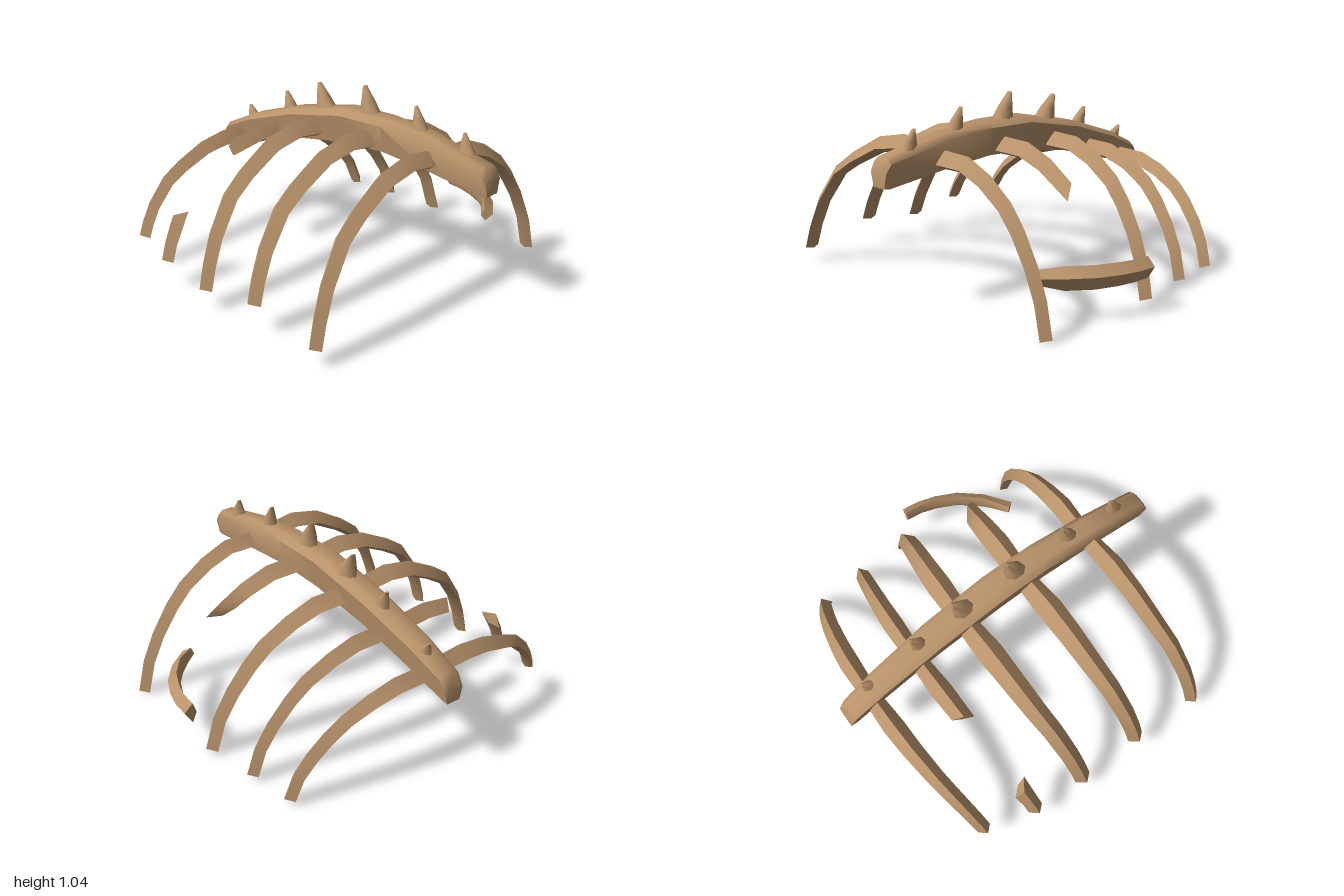
import * as THREE from 'three';
import { toCreasedNormals } from 'three/addons/utils/BufferGeometryUtils.js';

const bone = new THREE.MeshStandardMaterial({ color: 0xb8926a });
bone.name = 'bone';

// Skin closed rings of points into a capped solid, soft except at strong creases.
function loft(name, rings) {
  const pos = [], n = rings[0].length;
  const tri = (a, b, c) => pos.push(...a, ...b, ...c);
  for (let i = 0; i < rings.length - 1; i++) {
    for (let j = 0; j < n; j++) {
      const k = (j + 1) % n, A = rings[i], B = rings[i + 1];
      tri(A[j], A[k], B[k]);
      tri(A[j], B[k], B[j]);
    }
  }
  const first = rings[0], last = rings[rings.length - 1];
  for (let j = 1; j < n - 1; j++) {
    tri(first[0], first[j + 1], first[j]);
    tri(last[0], last[j], last[j + 1]);
  }
  // Turn the solid right side out if its signed volume is negative.
  const v = i => new THREE.Vector3().fromArray(pos, i);
  let volume = 0;
  for (let i = 0; i < pos.length; i += 9) volume += v(i).dot(v(i + 3).cross(v(i + 6)));
  if (volume < 0) {
    for (let i = 0; i < pos.length; i += 9) {
      for (let c = 0; c < 3; c++) [pos[i + c], pos[i + 3 + c]] = [pos[i + 3 + c], pos[i + c]];
    }
  }
  const geometry = new THREE.BufferGeometry();
  geometry.setAttribute('position', new THREE.Float32BufferAttribute(pos, 3));
  const mesh = new THREE.Mesh(toCreasedNormals(geometry, 1.05), bone);
  mesh.name = name;
  return mesh;
}

// Rib arcs: [outward fraction, drop fraction].
const leftArc = [[0.03, 0], [0.32, 0], [0.49, 0.08], [0.655, 0.21], [0.76, 0.35], [0.87, 0.55], [0.95, 0.755], [1, 1]];
const rightArc = [[-0.03, 0.05], [0.21, 0], [0.4, 0.05], [0.61, 0.2], [0.75, 0.33], [0.89, 0.6], [0.96, 0.82], [1, 1]];

// Keep the part of an arc between two outward fractions.
function slice(arc, from, to) {
  const at = u => {
    const i = Math.max(1, arc.findIndex(p => p[0] >= u));
    const [a, b] = [arc[i - 1], arc[i]];
    return [u, a[1] + (b[1] - a[1]) * (u - a[0]) / (b[0] - a[0])];
  };
  return [at(from), ...arc.filter(p => p[0] > from + 0.01 && p[0] < to - 0.01), at(to)];
}

// A ridged rib; skews slant the broken ends.
function rib(name, side, z0, width, { x, top, end, dz, from, to = 1, skewStart = 0, skewEnd = 0 }) {
  const arc = side > 0 ? leftArc : rightArc;
  const pts = slice(arc, from ?? arc[0][0], to);
  const place = ([u, d]) => new THREE.Vector2(side * u * x, top - d * (top - end));
  const rings = pts.map((p, i) => {
    const c = place(p), u = Math.max(p[0], 0);
    const t = place(pts[Math.min(i + 1, pts.length - 1)]).sub(place(pts[Math.max(i - 1, 0)])).normalize();
    const nx = -t.y * side, ny = t.x * side;
    const w = u < 0.1 ? width * 0.8 : width * (1.08 - 0.4 * u);
    const h = 0.052 - 0.02 * u;
    const skew = i === 0 ? skewStart : i === pts.length - 1 ? skewEnd : 0;
    return [[h, 0], [-h * 0.4, 1], [-h, 0], [-h * 0.4, -1]].map(([n, s]) => [
      c.x + nx * n + t.x * skew * s,
      c.y + ny * n + t.y * skew * s,
      z0 + dz * u ** 2.5 + s * w,
    ]);
  });
  return loft(name, rings);
}

export function createModel() {
  const model = new THREE.Group();
  model.name = 'ribCage';

  // Spine: [z, centre x, half width, bottom, top]
  const spine = [
    [1, 0.03, 0.058, 0.675, 0.77], [0.97, 0.03, 0.064, 0.67, 0.825], [0.6, 0.04, 0.075, 0.71, 0.893],
    [0.3, 0.045, 0.084, 0.73, 0.912], [0, 0.045, 0.088, 0.71, 0.9], [-0.4, 0.042, 0.084, 0.635, 0.81],
    [-0.75, 0.033, 0.074, 0.525, 0.69], [-0.96, 0.025, 0.065, 0.445, 0.59], [-1, 0.025, 0.06, 0.435, 0.515],
  ];
  model.add(loft('spine', spine.map(([z, x, w, lo, hi]) => {
    const edge = hi - (hi - lo) * 0.17;
    return [[0.55, hi], [1, edge], [0.7, lo], [-0.7, lo], [-1, edge], [-0.55, hi]].map(([s, y]) => [x + s * w, y, z]);
  })));

  // Rib pairs, front to back
  const pairs = [
    { z: 0.625, w: 0.064, l: { x: 0.855, top: 0.765, end: 0.01, dz: 0.045 }, r: { x: 0.945, top: 0.805, end: 0.095, dz: 0.095 } },
    { z: 0.2, w: 0.073, l: { x: 0.9, top: 0.77, end: 0.1, dz: 0.08, to: 0.66, skewEnd: 0.065 }, r: { x: 0.95, top: 0.805, end: 0.175, dz: 0.088 } },
    { z: -0.2, w: 0.073, l: { x: 0.885, top: 0.735, end: 0.025, dz: 0.125 }, r: { x: 0.955, top: 0.775, end: 0.12, dz: 0.112 } },
    { z: -0.515, w: 0.06, l: { x: 0.855, top: 0.64, end: 0.035, dz: 0.105 }, r: { x: 0.945, top: 0.67, end: 0.17, dz: 0.1, to: 0.41, skewEnd: 0.025 } },
    { z: -0.825, w: 0.06, l: { x: 0.83, top: 0.535, end: 0.035, dz: 0.135 }, r: { x: 0.87, top: 0.565, end: 0.19, dz: 0.11 } },
  ];
  pairs.forEach(({ z, w, l, r }, i) => {
    model.add(rib(`leftRib${i + 1}`, 1, z, w, l));
    model.add(rib(`rightRib${i + 1}`, -1, z, w, r));
  });

  // Loose tip of the broken right rib
  model.add(rib('rightRibTip', -1, -0.525, 0.066, { x: 0.945, top: 0.67, end: 0.17, dz: 0.11, from: 0.88, skewStart: -0.05 }));

  // Fallen rib piece lying across the left side: [x, z, half height]
  const fallen = [[0.95, 0, 0.058], [0.94, 0.1, 0.06], [0.91, 0.2, 0.062], [0.855, 0.315, 0.064], [0.755, 0.435, 0.064], [0.62, 0.54, 0.035]];
  model.add(loft('fallenRib', fallen.map(([x, z, h], i) => {
    const a = fallen[Math.max(i - 1, 0)], b = fallen[Math.min(i + 1, fallen.length - 1)];
    const t = new THREE.Vector2(b[0] - a[0], b[1] - a[1]).normalize();
    return [[0.035, 0.2], [-0.015, 1], [-0.035, 0], [-0.01, -1]].map(([n, s]) => [x + t.y * n, 0.232 + s * h, z - t.x * n]);
  })));

  // Spikes along the back: [base z, base y, x radius, z radius, tip z, tip y]
  const spikes = [
    [0.82, 0.83, 0.038, 0.058, 0.79, 0.945], [0.51, 0.87, 0.044, 0.06, 0.465, 1.01],
    [0.155, 0.88, 0.055, 0.075, 0.1, 1.04], [-0.18, 0.84, 0.055, 0.075, -0.25, 0.98],
    [-0.465, 0.75, 0.042, 0.062, -0.52, 0.87], [-0.79, 0.63, 0.038, 0.058, -0.845, 0.71],
  ];
  spikes.forEach(([z, y, rx, rz, tz, ty], i) => {
    const ring = (cx, cy, cz, ax, az) => Array.from({ length: 7 }, (_, k) => {
      const a = k / 7 * Math.PI * 2;
      return [cx + Math.cos(a) * ax, cy, cz + Math.sin(a) * az];
    });
    model.add(loft(`spike${i + 1}`, [
      ring(0.048, y, z, rx, rz),
      ring(0.052, y + (ty - y) * 0.5, z + (tz - z) * 0.45, rx * 0.7, rz * 0.58),
      ring(0.06, ty, tz, rx * 0.28, rz * 0.1),
    ]));
  });

  return model;
}
